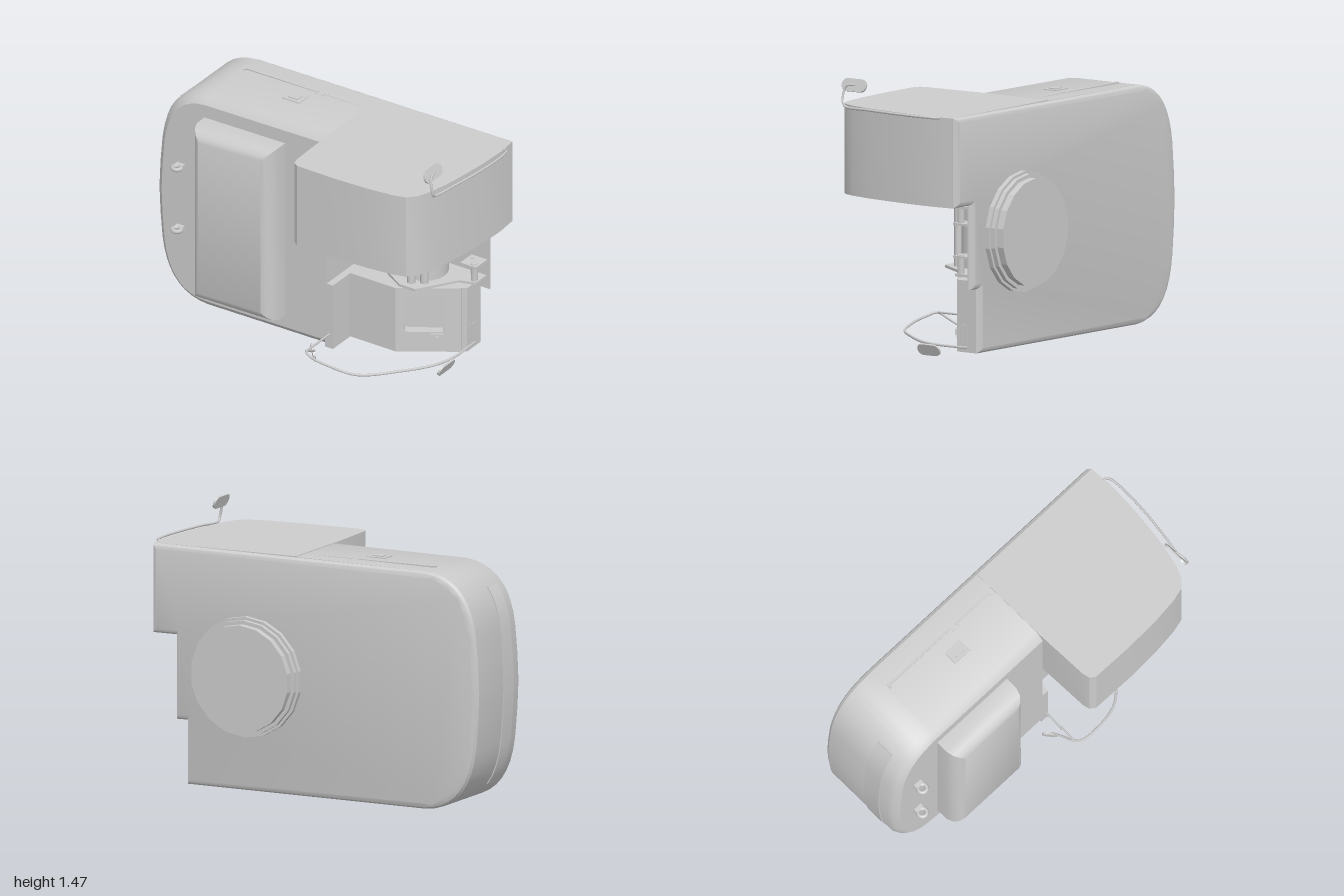
import * as THREE from 'three';
import { toCreasedNormals, mergeVertices } from 'three/addons/utils/BufferGeometryUtils.js';

const mat = new THREE.MeshStandardMaterial({ color: 0xcccccc, side: THREE.DoubleSide });
const V2 = (p) => new THREE.Vector2(p[0], p[1]);
const V3 = (p) => new THREE.Vector3(...p);

export function createModel() {
  const root = new THREE.Group();
  const add = (name, geo, x = 0, y = 0, z = 0, parent = root) => {
    const m = new THREE.Mesh(geo, mat);
    m.name = name;
    m.position.set(x, y, z);
    parent.add(m);
    return m;
  };
  const box = (name, w, h, d, x, y, z, parent) => add(name, new THREE.BoxGeometry(w, h, d), x, y, z, parent);
  const cyl = (name, r, h, x, y, z, n = 12) => add(name, toCreasedNormals(new THREE.CylinderGeometry(r, r, h, n), 0.7), x, y, z);
  const tube = (name, pts, r = 0.007) => {
    const path = new THREE.CatmullRomCurve3(pts.map(V3), false, 'centripetal');
    return add(name, new THREE.TubeGeometry(path, 40, r, 6), 0, 0, 0);
  };

  // Counter-clockwise outline moved inwards by d
  const inset = (pts, d) => pts.map((p, i) => {
    const a = pts[(i + pts.length - 1) % pts.length], b = pts[(i + 1) % pts.length];
    const e1 = p.clone().sub(a).normalize(), e2 = b.clone().sub(p).normalize();
    const n1 = new THREE.Vector2(-e1.y, e1.x), n2 = new THREE.Vector2(-e2.y, e2.x);
    return p.clone().addScaledVector(n1.clone().add(n2), d / (1 + n1.dot(n2)));
  });

  // Solid from an outline repeated at depths [z, inset]; right of keepX x stays put
  const loft = (outline, levels, keepX = Infinity) => {
    const pos = [], idx = [], n = outline.length;
    levels.forEach(([z, d]) => inset(outline, d).forEach((p, i) =>
      pos.push(outline[i].x > keepX ? outline[i].x : p.x, p.y, z)));
    for (let l = 0; l < levels.length - 1; l++) for (let i = 0; i < n; i++) {
      const j = (i + 1) % n, a = l * n + i, b = l * n + j;
      idx.push(a, b, b + n, a, b + n, a + n);
    }
    const top = (levels.length - 1) * n;
    THREE.ShapeUtils.triangulateShape(outline, []).forEach(([a, b, c]) =>
      idx.push(c, b, a, top + a, top + b, top + c));
    const g = new THREE.BufferGeometry();
    g.setAttribute('position', new THREE.Float32BufferAttribute(pos, 3));
    g.setIndex(idx);
    return toCreasedNormals(mergeVertices(g), 0.5);
  };

  // Prism with a plan outline [x, z] between two heights
  const prism = (plan, y0, y1) => {
    const g = new THREE.ExtrudeGeometry(new THREE.Shape(plan.map(([x, z]) => new THREE.Vector2(x, -z))),
      { depth: y1 - y0, bevelEnabled: false });
    g.rotateX(-Math.PI / 2).translate(0, y0, 0);
    return toCreasedNormals(g, 0.5);
  };

  // Rounded left end, from top to bottom
  const corner = [
    ...new THREE.QuadraticBezierCurve(V2([-0.68, 1.315]), V2([-0.94, 1.3]), V2([-0.98, 0.98])).getPoints(9),
    V2([-0.993, 0.83]), V2([-1, 0.675])];
  const leftEnd = [...corner, ...corner.slice(0, -1).reverse().map((p) => V2([p.x, 1.35 - p.y]))];

  // Main body and the rear shell, whose right edge is stepped
  const bodyOutline = [V2([0.1, 0.04]), V2([0.1, 1.323]), ...leftEnd];
  add('body', loft(bodyOutline, [[-0.37, 0], [0.07, 0], [0.1, 0.015], [0.125, 0.045]], 0.05));
  const step = [[0.745, 0.045], [0.745, 0.39], [0.81, 0.39], [0.81, 0.845], [0.95, 0.845], [0.95, 1.327]].map(V2);
  add('rearShell', loft([...step, ...leftEnd], [[-0.4, 0.028], [-0.392, 0.01], [-0.375, 0], [-0.368, 0]]));

  // Overhanging upper housing
  const housing = prism([[0.1, -0.37], [0.95, -0.37], [0.96, -0.25], [0.955, -0.1], [0.94, 0.05], [0.92, 0.2],
    [0.89, 0.33], [0.86, 0.4], [0.82, 0.44], [0.74, 0.46], [0.6, 0.475], [0.4, 0.483], [0.15, 0.48],
    [0.12, 0.46], [0.11, 0.42], [0.1, 0.1]], 0.845, 1.327);
  add('upperHousing', housing);

  // Lower housing with a slanted window panel
  add('lowerHousing', prism([[0.09, -0.37], [0.745, -0.37], [0.745, -0.25], [0.72, -0.235], [0.67, -0.25],
    [0.42, -0.1], [0.43, -0.04], [0.14, -0.04], [0.14, 0.125], [0.09, 0.125]], 0.045, 0.43));
  const panelGroup = new THREE.Group();
  panelGroup.name = 'windowPanel';
  const len = Math.hypot(0.29, 0.19);
  const frame = new THREE.Shape([[0, 0.045], [len, 0.045], [len, 0.43], [0, 0.43]].map(V2));
  const hole = new THREE.Path();
  const [hx0, hx1, hy0, hy1, hr] = [0.045, 0.26, 0.165, 0.38, 0.02];
  hole.moveTo(hx0 + hr, hy0).lineTo(hx1 - hr, hy0).quadraticCurveTo(hx1, hy0, hx1, hy0 + hr)
    .lineTo(hx1, hy1 - hr).quadraticCurveTo(hx1, hy1, hx1 - hr, hy1)
    .lineTo(hx0 + hr, hy1).quadraticCurveTo(hx0, hy1, hx0, hy1 - hr)
    .lineTo(hx0, hy0 + hr).quadraticCurveTo(hx0, hy0, hx0 + hr, hy0);
  frame.holes.push(hole);
  add('windowFrame', new THREE.ExtrudeGeometry(frame, { depth: 0.06, bevelEnabled: false }), 0, 0, -0.06, panelGroup);
  box('windowLatch', 0.07, 0.055, 0.012, 0.22, 0.127, 0.003, panelGroup);
  box('windowLatchKnob', 0.02, 0.03, 0.014, 0.22, 0.127, 0.01, panelGroup);
  panelGroup.position.set(0.43, 0, -0.04);
  panelGroup.rotation.y = Math.atan2(0.19, 0.29);
  root.add(panelGroup);
  for (let i = 0; i < 4; i++) box('vent', 0.008, 0.1, 0.01, 0.745, 0.145, -0.26 - i * 0.019);

  // Spool and rollers in the open gap
  box('gapWall', 0.24, 0.43, 0.2, 0.21, 0.64, -0.27);
  cyl('spool', 0.13, 0.4, 0.48, 0.64, -0.24, 20);
  for (const y of [0.462, 0.825]) {
    add('rollerPlate', prism([[0.31, -0.37], [0.79, -0.37], [0.79, -0.27], [0.7, -0.24], [0.56, -0.03],
      [0.46, -0.03], [0.31, -0.12]], y - 0.007, y + 0.007));
  }
  for (const x of [0.5, 0.56]) cyl('roller', 0.023, 0.39, x, 0.64, x === 0.5 ? -0.085 : -0.12);
  for (const [y, s] of [[0.51, 1], [0.785, -1]]) {
    cyl('guidePin', 0.018, 0.12, 0.765, y, -0.29);
    cyl('guidePin', 0.012, 0.12, 0.72, y, -0.34);
    box('guideArm', 0.1, 0.012, 0.12, 0.745, y + s * 0.05, -0.32);
  }

  // Raised front panel with sloping edges
  const pad = [[-0.68, 0.155], [-0.16, 0.16], [-0.165, 1.2], [-0.68, 1.195]].map(V2);
  add('frontPanel', loft(pad, [[0.11, 0], [0.195, 0], [0.235, 0.012], [0.262, 0.035], [0.275, 0.06]]));

  // Stepped round mount at the back
  const mount = [[0, 0], [0.325, 0], [0.325, 0.035], [0.31, 0.035], [0.31, 0.06], [0.29, 0.06], [0.29, 0.1], [0, 0.1]];
  const lathe = new THREE.LatheGeometry(mount.map(V2), 18).toNonIndexed();
  lathe.rotateX(-Math.PI / 2);
  add('rearMount', toCreasedNormals(lathe, 0.3), 0.375, 0.66, -0.392);

  // Grip strap wrapped around the left end
  const outer = inset(leftEnd.slice(4, -4), -0.006);
  const inner = inset(leftEnd.slice(4, -4), 0.02).reverse();
  const strap = new THREE.ExtrudeGeometry(new THREE.Shape([...outer.slice(1, -1), ...inner.slice(1, -1)]),
    { depth: 0.11, bevelEnabled: false });
  add('gripStrap', toCreasedNormals(strap, 0.5), 0, 0, -0.1);

  // Slim ridges and switch on the top and bottom
  for (const [y, s] of [[1.318, 1], [0.038, -1]]) {
    for (const [x0, x1] of [[-0.67, -0.21], [-0.17, 0.07]]) {
      box('ridge', x1 - x0, 0.01, 0.014, (x0 + x1) / 2, y, -0.257);
      for (const x of [x0, x1]) box('ridgeEnd', 0.01, 0.01, 0.022, x, y, -0.247);
    }
    box('switchPlate', 0.11, 0.012, 0.085, -0.277, y, -0.137);
    box('switchKnob', 0.06, 0.012, 0.045, -0.277, y + s * 0.005, -0.137);
  }

  // Strap lugs on the front
  for (const y of [0.86, 0.485]) {
    const lug = new THREE.TorusGeometry(0.024, 0.012, 6, 12);
    lug.rotateX(Math.PI / 2);
    add('lug', lug, -0.83, y, 0.165);
    box('lugBase', 0.05, 0.022, 0.04, -0.83, y, 0.128);
  }

  // Oval tip discs, flat across local x
  const tip = (x, y, z, w, h, rx, ry, rz) => {
    const s = new THREE.Shape();
    const r = h / 2, c = w / 2 - r;
    s.absarc(c, 0, r, -Math.PI / 2, Math.PI / 2).absarc(-c, 0, r, Math.PI / 2, Math.PI * 1.5);
    const g = new THREE.ExtrudeGeometry(s, { depth: 0.012, bevelEnabled: false, curveSegments: 6 });
    g.translate(0, 0, -0.006).rotateY(Math.PI / 2);
    add('wireTip', g, x, y, z).rotation.set(rx, ry, rz);
  };

  // Upper wire arm
  tube('upperWire', [[0.945, 1.322, -0.29], [0.975, 1.324, -0.28], [0.99, 1.325, -0.2], [0.982, 1.325, 0],
    [0.96, 1.325, 0.18], [0.935, 1.325, 0.34], [0.94, 1.34, 0.36], [0.925, 1.42, 0.36], [0.92, 1.44, 0.345], [0.91, 1.443, 0.3]]);
  tip(0.905, 1.44, 0.31, 0.16, 0.07, 0, 0, 0.35);

  // Lower wire arm
  tube('lowerWire', [[0.08, 0.055, 0.21], [0.1, 0.09, 0.27], [0.12, 0.13, 0.35], [0.16, 0.118, 0.37], [0.28, 0.1, 0.37],
    [0.43, 0.075, 0.33], [0.6, 0.072, 0.16], [0.71, 0.07, 0], [0.745, 0.07, -0.12], [0.745, 0.07, -0.32]]);
  tube('lowerWireStay', [[0.12, 0.13, 0.1], [0.12, 0.13, 0.25], [0.12, 0.13, 0.35]], 0.006);
  tip(0.07, 0.05, 0.21, 0.09, 0.05, 0.8, 0.7, -0.4);
  tip(0.74, 0.037, -0.06, 0.145, 0.065, 0, 0, -0.4);

  return root;
}
